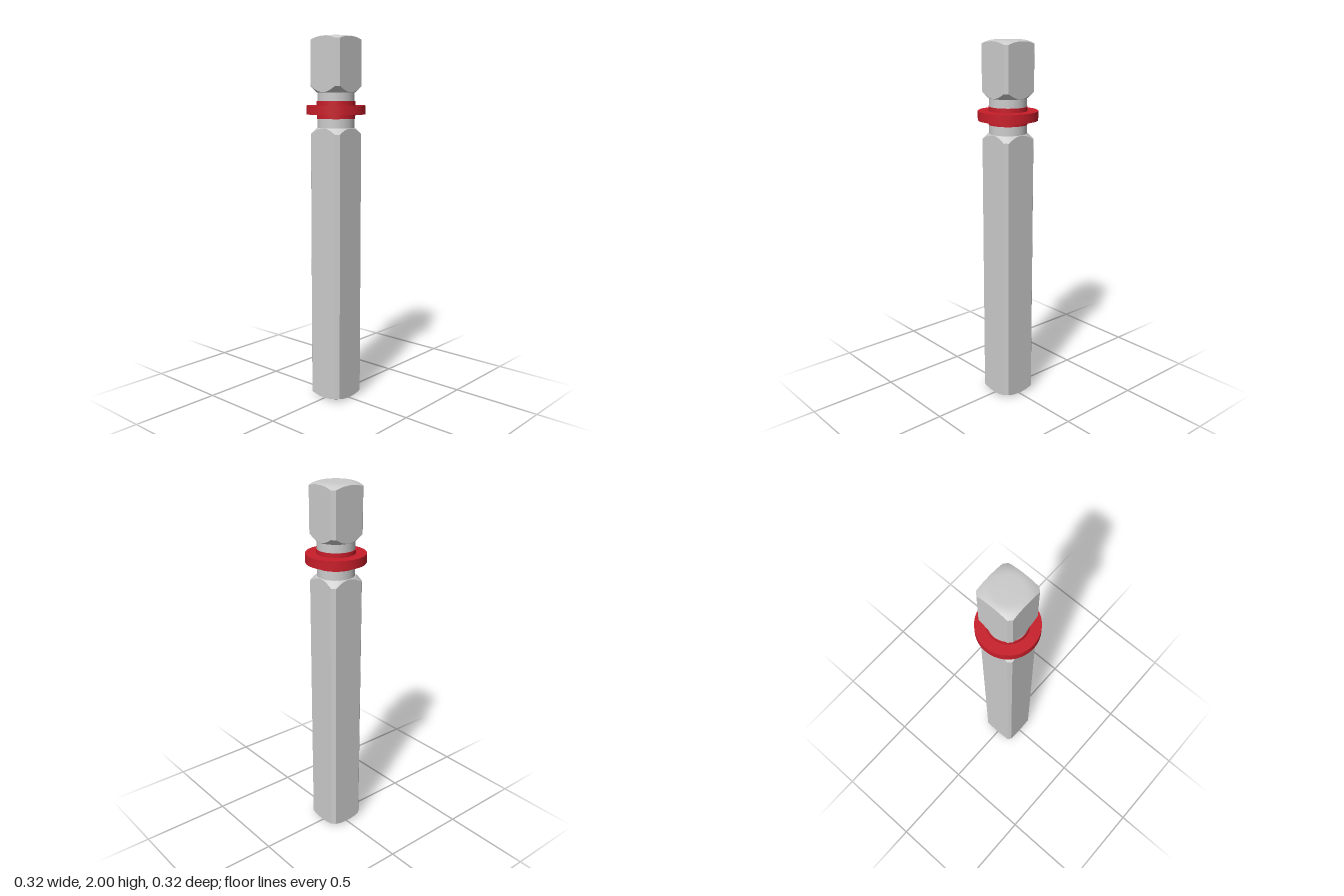
import * as THREE from 'three';
import { toCreasedNormals } from 'three/addons/utils/BufferGeometryUtils.js';

const HALF = 0.105;  // half width of the square shaft
const EDGE = 0.087;  // where the corner chamfer starts
const NECK = 0.1;

// distance from the axis to the chamfered square outline
function outline(a) {
  const c = Math.abs(Math.cos(a)), s = Math.abs(Math.sin(a));
  return Math.min(HALF / Math.max(c, s), (HALF + EDGE) / (c + s));
}

// angles that land exactly on the chamfer corners
function outlineAngles() {
  const a = Math.atan2(EDGE, HALF), list = [];
  for (let q = 0; q < 4; q++) {
    const base = q * Math.PI / 2;
    for (let i = 0; i < 16; i++) list.push(base - a + 2 * a * i / 16);
    for (let i = 0; i < 4; i++) list.push(base + a + (Math.PI / 2 - 2 * a) * i / 4);
  }
  return list;
}

// end shapes: how far the end falls back at radius r
const dome = r => 4.5 * Math.max(0, r - 0.07) ** 2;
const cone = r => Math.max(0, r - 0.104);

// chamfered square bar whose two ends are turned shapes
function barGeometry(y0, y1, endLow, endHigh) {
  const angles = outlineAngles(), n = angles.length;
  const rings = rho => [0, 0.07, 0.082, 0.093, 0.104,
    ...[0.33, 0.67, 1].map(t => 0.104 + (rho - 0.104) * t)];
  const pos = [], index = [];
  for (const a of angles) {
    const radii = rings(outline(a));
    const profile = [
      ...radii.map(r => [r, y0 + endLow(r)]),
      ...radii.slice().reverse().map(r => [r, y1 - endHigh(r)]),
    ];
    for (const [r, y] of profile) pos.push(r * Math.sin(a), y, r * Math.cos(a));
  }
  const m = pos.length / 3 / n;
  for (let i = 0; i < n; i++) {
    for (let j = 0; j < m - 1; j++) {
      const p = i * m + j, q = ((i + 1) % n) * m + j;
      if (j > 0) index.push(p, q, q + 1);
      if (j < m - 2) index.push(p, q + 1, p + 1);
      else if (j === 0) index.push(p, q + 1, p + 1);
    }
  }
  const g = new THREE.BufferGeometry();
  g.setAttribute('position', new THREE.Float32BufferAttribute(pos, 3));
  g.setIndex(index);
  return toCreasedNormals(g, 0.5);
}

export function createModel() {
  const group = new THREE.Group();
  const grey = new THREE.MeshStandardMaterial({ color: 0xcccccc });
  const red = new THREE.MeshStandardMaterial({ color: 0xc81e2a });
  const add = (name, geometry, material) => {
    const mesh = new THREE.Mesh(geometry, material);
    mesh.name = name;
    group.add(mesh);
    return mesh;
  };

  // long square shaft and short square head
  add('shaft', barGeometry(0, 1.517, dome, cone), grey);
  add('head', barGeometry(1.705, 2, cone, dome), grey);

  // round neck joining them
  add('neck', new THREE.CylinderGeometry(NECK, NECK, 0.2, 64), grey).position.y = 1.611;

  // flanged collar around the neck
  const profile = [
    [NECK, 1.565], [0.104, 1.565], [0.104, 1.588], [0.16, 1.588],
    [0.16, 1.637], [0.104, 1.637], [0.104, 1.66], [NECK, 1.66],
  ].map(([r, y]) => new THREE.Vector2(r, y));
  add('collar', toCreasedNormals(new THREE.LatheGeometry(profile, 96), 0.5), red);

  return group;
}
